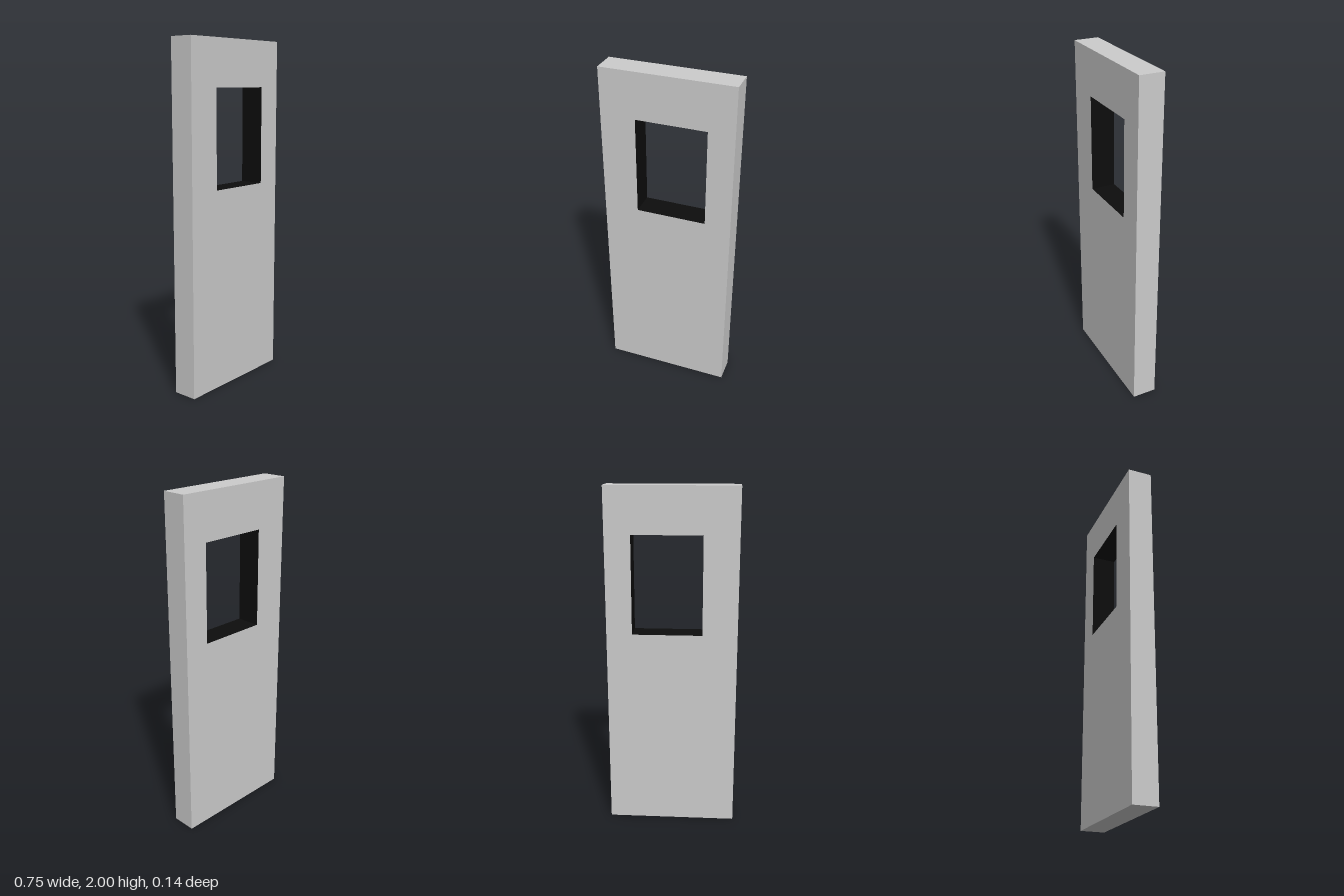
import * as THREE from 'three';

const HALF_WIDTH = 0.375, HEIGHT = 2, DEPTH = 0.143;
const WINDOW = { left: -0.175, right: 0.227, bottom: 1.17, top: 1.735 };

// Fills a Shape or Path with an axis-aligned rectangle
function rectangle(path, x0, y0, x1, y1) {
  path.moveTo(x0, y0);
  path.lineTo(x1, y0);
  path.lineTo(x1, y1);
  path.lineTo(x0, y1);
  path.closePath();
  return path;
}

export function createModel() {
  const model = new THREE.Group();
  model.name = 'wallPanel';

  // Slab with an off-centre window opening cut right through
  const outline = rectangle(new THREE.Shape(), -HALF_WIDTH, 0, HALF_WIDTH, HEIGHT);
  outline.holes.push(rectangle(new THREE.Path(), WINDOW.left, WINDOW.bottom, WINDOW.right, WINDOW.top));
  const geometry = new THREE.ExtrudeGeometry(outline, { depth: DEPTH, bevelEnabled: false });
  geometry.translate(0, 0, -DEPTH / 2);

  // Side faces run outer edges first, then the opening: give each half its own material
  const [caps, sides] = geometry.groups;
  const half = sides.count / 2;
  geometry.clearGroups();
  geometry.addGroup(caps.start, caps.count, 0);
  geometry.addGroup(sides.start, half, 0);
  geometry.addGroup(sides.start + half, half, 1);

  const wall = new THREE.MeshStandardMaterial({ color: 0xcccccc });
  const windowReveal = new THREE.MeshStandardMaterial({ color: 0x0d0d0d });
  const panel = new THREE.Mesh(geometry, [wall, windowReveal]);
  panel.name = 'panelWithWindowOpening';
  model.add(panel);
  return model;
}
